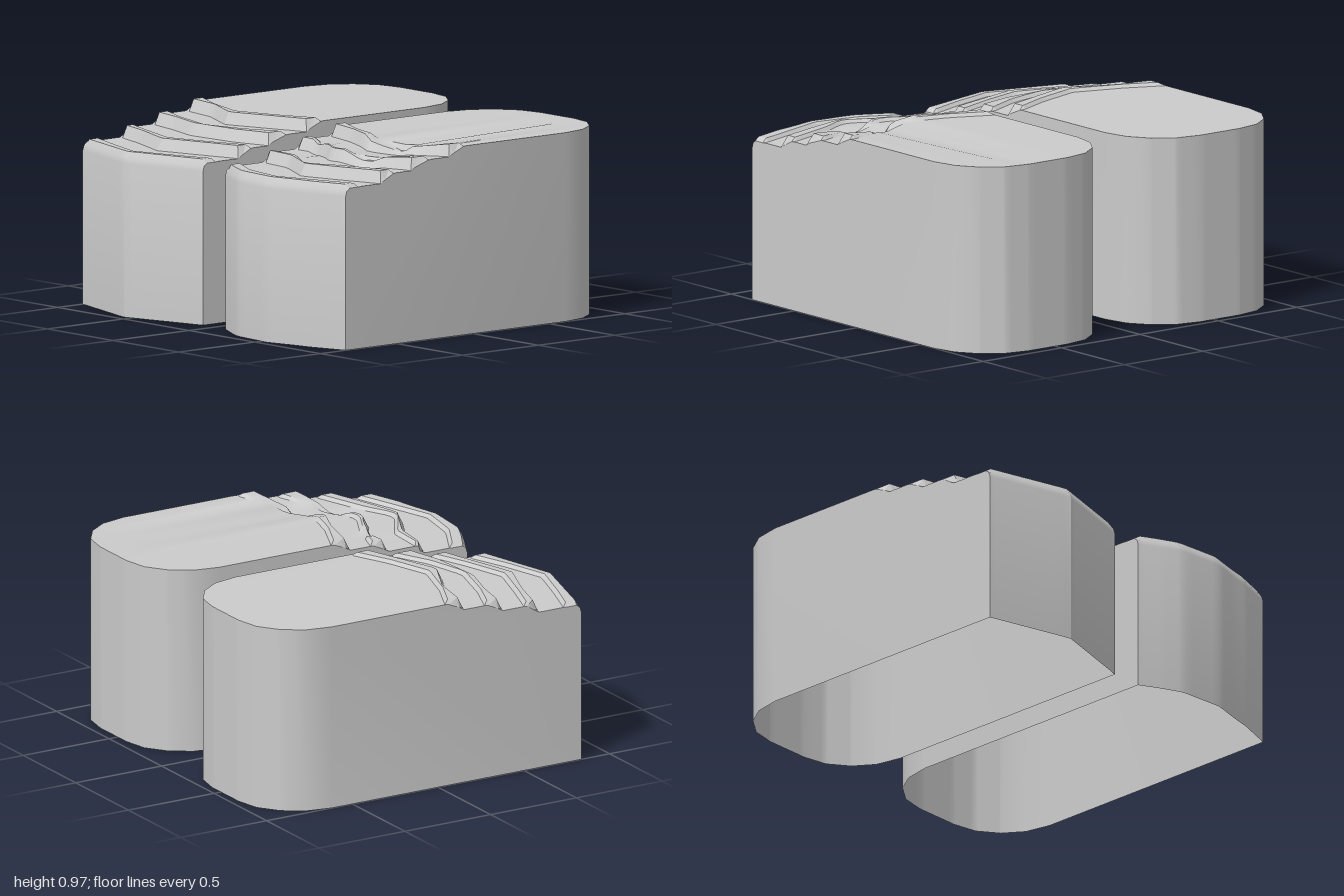
import * as THREE from 'three';
import { toCreasedNormals } from 'three/addons/utils/BufferGeometryUtils.js';

// Piecewise-linear curve through [x, value] pairs
function at(x, pts) {
  if (x <= pts[0][0]) return pts[0][1];
  for (let i = 1; i < pts.length; i++) {
    const [x0, v0] = pts[i - 1], [x1, v1] = pts[i];
    if (x <= x1) return v0 + (v1 - v0) * (x - x0) / (x1 - x0);
  }
  return pts[pts.length - 1][1];
}

// Rounded rear end, as z by distance from the block's centre line
const REAR = [[0, -0.96], [0.125, -0.96], [0.255, -0.935], [0.36, -0.86], [0.43, -0.755], [0.4575, -0.62]];
const TERRACE = [0.95, 0.905, 0.86, 0.815];
const LIP = 0.016;

// Per block: the rear and front line of each lip, and how far each is worn down
const RIGHT = {
  centre: -0.5425, rearShift: 0,
  back: [
    [[-1, 0.04], [-0.8, 0.13], [-0.545, 0.21], [-0.3, 0.135], [-0.085, 0.04]],
    [[-1, 0.27], [-0.8, 0.35], [-0.53, 0.425], [-0.3, 0.37], [-0.085, 0.27]],
    [[-1, 0.5], [-0.8, 0.57], [-0.545, 0.65], [-0.3, 0.58], [-0.085, 0.5]],
    [[-1, 0.73], [-0.8, 0.8], [-0.545, 0.88], [-0.3, 0.81], [-0.085, 0.73]],
  ],
  front: [
    [[-1, 0.155], [-0.77, 0.195], [-0.53, 0.308], [-0.085, 0.155]],
    [[-1, 0.38], [-0.8, 0.42], [-0.6, 0.48], [-0.3, 0.46], [-0.085, 0.405]],
    [[-1, 0.59], [-0.8, 0.645], [-0.545, 0.74], [-0.085, 0.605]],
    [[-1, 0.835], [-0.545, 0.96], [-0.085, 0.835]],
  ],
  wear: [],
};
const LEFT = {
  centre: 0.5425, rearShift: 0.01,
  back: [
    [[0.085, 0.04], [0.3, 0.135], [0.545, 0.2], [0.7, 0.15], [1, 0.04]],
    [[0.085, 0.27], [0.3, 0.34], [0.48, 0.43], [0.62, 0.4], [0.75, 0.36], [1, 0.27]],
    [[0.085, 0.53], [0.3, 0.54], [0.5, 0.665], [0.56, 0.67], [0.7, 0.6], [1, 0.5]],
    [[0.085, 0.73], [0.3, 0.84], [0.545, 0.88], [0.7, 0.83], [1, 0.73]],
  ],
  front: [
    [[0.085, 0.155], [0.3, 0.205], [0.56, 0.308], [0.64, 0.25], [0.68, 0.22], [0.74, 0.23], [1, 0.155]],
    [[0.085, 0.38], [0.2, 0.375], [0.4, 0.45], [0.48, 0.5], [0.66, 0.46], [0.78, 0.435], [1, 0.405]],
    [[0.085, 0.59], [0.3, 0.615], [0.42, 0.675], [0.55, 0.74], [0.75, 0.685], [1, 0.605]],
    [[0.085, 0.835], [0.2, 0.895], [0.3, 0.94], [0.545, 0.96], [0.7, 0.92], [0.8, 0.9], [1, 0.835]],
  ],
  wear: [
    [[0.46, 0], [0.62, 0.045], [0.65, 0.065], [0.71, 0.065], [0.75, 0.035], [0.98, 0]],
    [[0.18, 0], [0.25, 0.025], [0.34, 0], [0.55, 0], [0.65, 0.045], [0.72, 0.045], [0.8, 0.015], [0.95, 0]],
  ],
};

// Section of a block along z at one x: rear wall, stepped top with lips, front wall
function section(block, x) {
  const d = Math.abs(x - block.centre);
  const isEnd = d > 0.45;
  const rear = at(d, REAR) + block.rearShift;
  const pts = [[rear, 0], [rear, TERRACE[0]]];
  for (let row = 0; row < 4; row++) {
    const b = at(x, block.back[row]), f = at(x, block.front[row]);
    const worn = block.wear[row] ? at(x, block.wear[row]) : 0;
    const top = TERRACE[row] + LIP - worn;
    pts.push([b, TERRACE[row] - worn * 0.3]);
    // The ends of each lip are chamfered, more deeply towards the front
    pts.push([b + 0.02, top - (isEnd ? 0.018 : 0)]);
    if (row < 3) {
      pts.push([f - 0.03, top - (isEnd ? 0.045 : 0)]);
      pts.push([f, TERRACE[row + 1] - worn * 0.35]);
    } else {
      // Softened front edge
      const edge = top - (isEnd ? 0.018 : 0);
      pts.push([f - 0.028, edge], [f - 0.008, top - 0.032], [f, top - 0.058], [f, 0]);
    }
  }
  return pts;
}

// Loft the sections across x and close both sides; the underside stays open
function blockGeometry(block) {
  const offsets = new Set([0]);
  for (const [d] of REAR) offsets.add(d).add(-d);
  for (let i = 1; i < 10; i++) offsets.add(i * 0.044).add(-i * 0.044);
  const xs = [...offsets].sort((a, b) => a - b).map((o) => block.centre + o);
  const sections = xs.map((x) => section(block, x));
  const n = sections[0].length;
  const positions = [], index = [];
  sections.forEach((pts, i) => pts.forEach(([z, y]) => positions.push(xs[i], y, z)));

  for (let i = 0; i < xs.length - 1; i++) {
    for (let j = 0; j < n - 1; j++) {
      const a = i * n + j;
      index.push(a, a + 1, a + 1 + n, a, a + 1 + n, a + n);
    }
  }
  for (const i of [0, xs.length - 1]) {
    const outline = sections[i].map(([z, y]) => new THREE.Vector2(z, y)).reverse();
    for (const tri of THREE.ShapeUtils.triangulateShape(outline, [])) {
      const [a, b, c] = tri.map((k) => i * n + n - 1 - k);
      if (i === 0) index.push(a, b, c);
      else index.push(a, c, b);
    }
  }
  const geometry = new THREE.BufferGeometry();
  geometry.setAttribute('position', new THREE.Float32BufferAttribute(positions, 3));
  geometry.setIndex(index);
  return toCreasedNormals(geometry, 0.47);
}

export function createModel() {
  const model = new THREE.Group();
  model.name = 'steppedBlocks';
  const material = new THREE.MeshStandardMaterial({ color: 0xcccccc, side: THREE.DoubleSide });
  for (const [name, block] of [['rightBlock', RIGHT], ['leftBlock', LEFT]]) {
    const mesh = new THREE.Mesh(blockGeometry(block), material);
    mesh.name = name;
    model.add(mesh);
  }
  return model;
}
